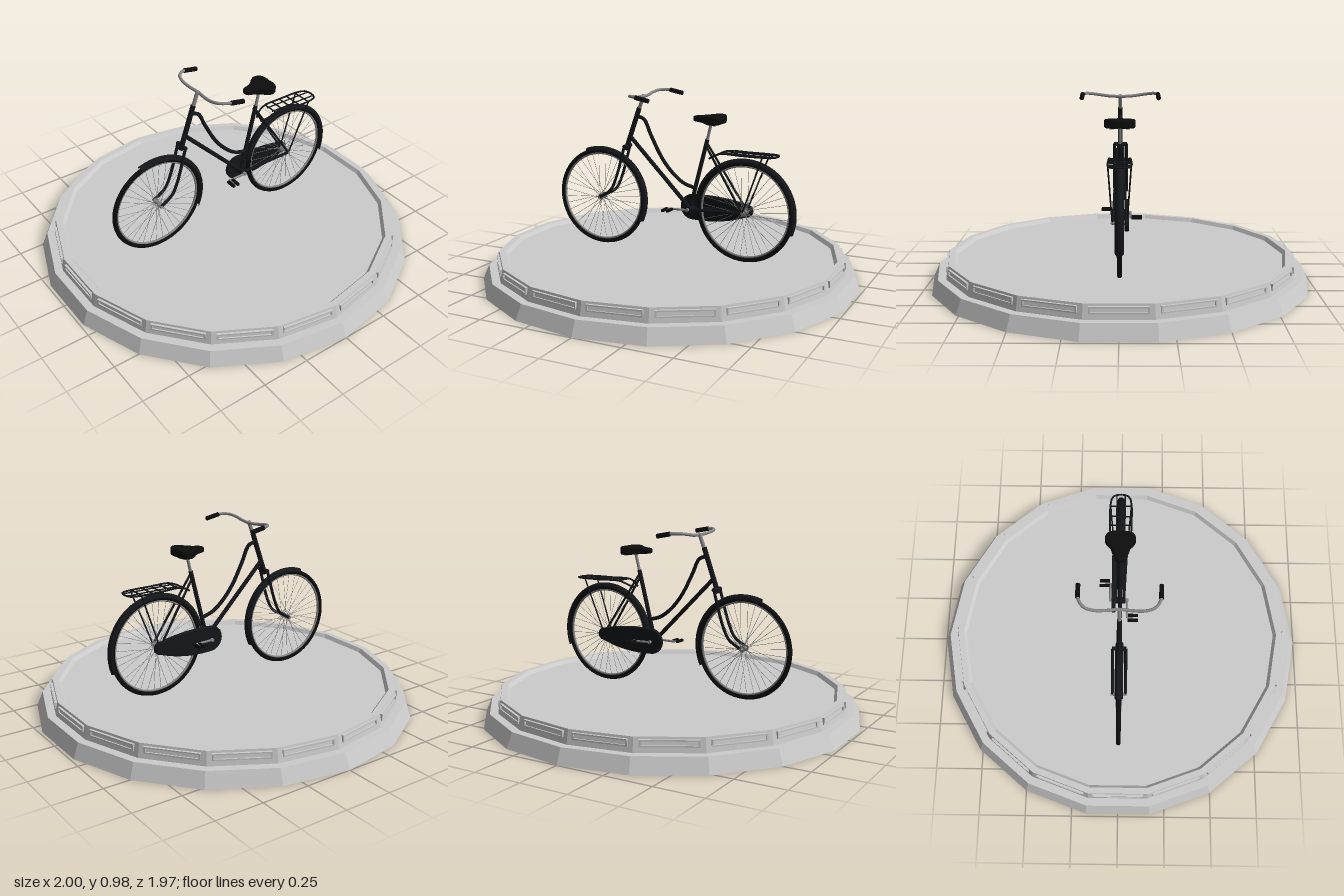
import * as THREE from 'three';
import { mergeGeometries } from 'three/addons/utils/BufferGeometryUtils.js';

const stone = new THREE.MeshStandardMaterial({ color: 0xcccccc, flatShading: true });
const paint = new THREE.MeshStandardMaterial({ color: 0x14161a });
const paintThin = new THREE.MeshStandardMaterial({ color: 0x14161a, side: THREE.DoubleSide });
const rubber = new THREE.MeshStandardMaterial({ color: 0x0d0d0d });
const metal = new THREE.MeshStandardMaterial({ color: 0x888888 });

const V = (x, y, z) => new THREE.Vector3(x, y, z);
const HUB_Y = 0.39, FRONT_Z = 0.42, REAR_Z = -0.415;

function add(parent, name, geometry, material, x = 0, y = 0, z = 0) {
  const mesh = new THREE.Mesh(geometry, material);
  mesh.name = name;
  mesh.position.set(x, y, z);
  parent.add(mesh);
  return mesh;
}

// Straight rod between two points
function rodGeometry(a, b, r, sides = 10) {
  const d = b.clone().sub(a);
  const g = new THREE.CylinderGeometry(r, r, d.length(), sides);
  g.applyQuaternion(new THREE.Quaternion().setFromUnitVectors(V(0, 1, 0), d.clone().normalize()));
  const m = a.clone().add(b).multiplyScalar(0.5);
  return g.translate(m.x, m.y, m.z);
}
const rod = (p, name, a, b, r, mat) => add(p, name, rodGeometry(a, b, r), mat);

// Bent pipe through points
const pipe = (p, name, pts, r, mat, closed = false) => add(p, name,
  new THREE.TubeGeometry(new THREE.CatmullRomCurve3(pts, closed, 'centripetal'), 40, r, 8, closed), mat);

// Faceted plinth with a raised rim and a framed panel on each face
function buildPlinth() {
  const plinth = new THREE.Group();
  plinth.name = 'plinth';
  const profile = [[0, 0], [1, 0], [0.968, 0.075], [0.926, 0.075], [0.912, 0.145],
    [0.88, 0.145], [0.865, 0.125], [0, 0.125]].map(([r, y]) => new THREE.Vector2(r, y));
  add(plinth, 'plinthBody', new THREE.LatheGeometry(profile, 18, Math.PI / 18), stone);

  const rect = (Type, w, h) => {
    const s = new Type();
    s.moveTo(-w, -h); s.lineTo(w, -h); s.lineTo(w, h); s.lineTo(-w, h); s.closePath();
    return s;
  };
  const frame = rect(THREE.Shape, 0.134, 0.017);
  frame.holes.push(rect(THREE.Path, 0.126, 0.01));
  const frameGeometry = new THREE.ExtrudeGeometry(frame, { depth: 0.02, bevelEnabled: false });
  frameGeometry.translate(0, 0.117, 0.892);
  for (let i = 0; i < 18; i++) {
    add(plinth, 'panelFrame', frameGeometry, stone).rotation.y = i * Math.PI / 9;
  }
  return plinth;
}

// Wheel with tyre, rim, hub, crossed spokes and mudguard
function buildWheel(name, z, guardFrom, guardTo) {
  const wheel = new THREE.Group();
  wheel.name = name;
  wheel.position.set(0, HUB_Y, z);
  const ring = (r, t) => new THREE.TorusGeometry(r, t, 10, 64).rotateY(Math.PI / 2);
  add(wheel, 'tyre', ring(0.252, 0.0125), rubber);
  add(wheel, 'rim', ring(0.238, 0.006), metal);
  add(wheel, 'hub', rodGeometry(V(-0.03, 0, 0), V(0.03, 0, 0), 0.009, 16), metal);
  const parts = [];
  for (const s of [-1, 1]) {
    add(wheel, 'hubFlange', rodGeometry(V(s * 0.018, 0, 0), V(s * 0.021, 0, 0), 0.017, 16), metal);
    for (let i = 0; i < 18; i++) {
      const a = (i + s * 0.25) * Math.PI / 9, b = a + (i % 2 ? 0.6 : -0.6);
      parts.push(rodGeometry(V(s * 0.019, 0.015 * Math.sin(b), 0.015 * Math.cos(b)),
        V(0, 0.236 * Math.sin(a), 0.236 * Math.cos(a)), 0.0011, 4));
    }
  }
  add(wheel, 'spokes', mergeGeometries(parts), metal);

  const section = [];
  for (let i = 0; i <= 10; i++) {
    const t = -Math.PI / 2 + i * Math.PI / 10;
    section.push(new THREE.Vector2(0.257 + 0.02 * Math.cos(t), 0.021 * Math.sin(t)));
  }
  const rad = THREE.MathUtils.degToRad;
  add(wheel, 'mudguard', new THREE.LatheGeometry(section, 40, rad(guardFrom), rad(guardTo - guardFrom))
    .rotateZ(Math.PI / 2), paintThin);
  return wheel;
}

function buildFrame() {
  const g = new THREE.Group();
  g.name = 'frame';
  const bracket = V(0, 0.375, -0.11);
  rod(g, 'headTube', V(0, 0.89, 0.188), V(0, 0.66, 0.27), 0.013, paint);
  pipe(g, 'upperTube', [V(0, 0.845, 0.2), V(0, 0.83, 0.16), V(0, 0.75, 0.12), V(0, 0.64, 0.06),
    V(0, 0.565, 0), V(0, 0.51, -0.07), V(0, 0.488, -0.14)], 0.01, paint);
  rod(g, 'downTube', V(0, 0.735, 0.245), bracket, 0.011, paint);
  rod(g, 'seatTube', bracket, V(0, 0.75, -0.205), 0.011, paint);
  rod(g, 'bracketShell', V(-0.03, 0.375, -0.11), V(0.03, 0.375, -0.11), 0.018, paint);
  rod(g, 'forkCrown', V(-0.036, 0.68, 0.263), V(0.036, 0.68, 0.263), 0.011, paint);
  for (const s of [-1, 1]) {
    pipe(g, 'forkBlade', [V(s * 0.033, 0.685, 0.262), V(s * 0.034, 0.5, 0.318),
      V(s * 0.034, 0.435, 0.352), V(s * 0.034, HUB_Y, FRONT_Z)], 0.008, paint);
    rod(g, 'chainStay', V(s * 0.02, 0.375, -0.11), V(s * 0.034, HUB_Y, REAR_Z), 0.008, paint);
    rod(g, 'seatStay', V(s * 0.014, 0.725, -0.2), V(s * 0.034, HUB_Y, REAR_Z), 0.006, paint);
  }
  for (const z of [FRONT_Z, REAR_Z]) {
    rod(g, 'axle', V(-0.043, HUB_Y, z), V(0.043, HUB_Y, z), 0.007, metal);
  }
  return g;
}

// Swept-back handlebar with stem and grips
function buildHandlebar() {
  const g = new THREE.Group();
  g.name = 'handlebar';
  rod(g, 'stem', V(0, 0.88, 0.19), V(0, 0.96, 0.16), 0.01, metal);
  const half = [[0.06, 0.955, 0.162], [0.12, 0.963, 0.166], [0.17, 0.97, 0.152], [0.197, 0.97, 0.11], [0.2, 0.957, 0.04]];
  pipe(g, 'bar', [...half.map(([x, y, z]) => V(-x, y, z)).reverse(), V(0, 0.953, 0.155),
    ...half.map(p => V(...p))], 0.008, metal);
  for (const s of [-1, 1]) rod(g, 'grip', V(s * 0.199, 0.969, 0.105), V(s * 0.2, 0.955, 0.03), 0.012, rubber);
  return g;
}

// Saddle, broad at the back, with post and springs
function buildSaddle() {
  const g = new THREE.Group();
  g.name = 'saddle';
  const s = new THREE.Shape();
  s.moveTo(0, -0.28);
  s.bezierCurveTo(0.05, -0.29, 0.068, -0.275, 0.068, -0.25);
  s.bezierCurveTo(0.066, -0.215, 0.022, -0.215, 0.016, -0.15);
  s.quadraticCurveTo(0.012, -0.138, 0, -0.138);
  s.quadraticCurveTo(-0.012, -0.138, -0.016, -0.15);
  s.bezierCurveTo(-0.022, -0.215, -0.066, -0.215, -0.068, -0.25);
  s.bezierCurveTo(-0.068, -0.275, -0.05, -0.29, 0, -0.28);
  const geo = new THREE.ExtrudeGeometry(s, { depth: 0.024, bevelSize: 0.01, bevelThickness: 0.01, bevelSegments: 4, curveSegments: 10 });
  geo.rotateX(Math.PI / 2).translate(0, 0.867, 0);
  // Slim the nose
  const p = geo.attributes.position;
  for (let i = 0; i < p.count; i++) {
    const k = THREE.MathUtils.clamp((p.getZ(i) + 0.24) / 0.11, 0, 1);
    p.setY(i, THREE.MathUtils.lerp(p.getY(i), 0.855 + (p.getY(i) - 0.855) * 0.6, k));
  }
  geo.computeVertexNormals();
  add(g, 'seatPad', geo, rubber);
  rod(g, 'seatPost', V(0, 0.74, -0.203), V(0, 0.85, -0.23), 0.008, metal);
  for (const x of [-0.04, 0.04]) rod(g, 'spring', V(x, 0.828, -0.26), V(x, 0.85, -0.26), 0.011, metal);
  return g;
}

// Luggage rack over the rear wheel
function buildRack() {
  const g = new THREE.Group();
  g.name = 'rack';
  const y = 0.69, side = [[0.018, 0.655, -0.225], [0.04, 0.675, -0.26], [0.05, y, -0.3], [0.056, y, -0.42],
    [0.055, y, -0.53], [0.042, y, -0.575]];
  pipe(g, 'rackLoop', [...side.map(([a, b, c]) => V(-a, b, c)), V(0, y, -0.588),
    ...side.map(p => V(...p)).reverse()], 0.005, paint);
  for (const z of [-0.31, -0.36, -0.41, -0.46, -0.52]) rod(g, 'crossBar', V(-0.054, y, z), V(0.054, y, z), 0.004, paint);
  for (const s of [-1, 1]) {
    rod(g, 'slat', V(s * 0.022, y, -0.3), V(s * 0.022, y, -0.58), 0.0035, paint);
    rod(g, 'rackStrut', V(s * 0.055, y, -0.525), V(s * 0.036, HUB_Y, REAR_Z), 0.004, paint);
  }
  return g;
}

// Chain case, cranks and pedals
function buildDrive() {
  const g = new THREE.Group();
  g.name = 'drive';
  const s = new THREE.Shape();
  s.absarc(-0.11, 0.378, 0.063, Math.PI * 0.52, -Math.PI * 0.5, true);
  s.quadraticCurveTo(-0.27, 0.305, -0.415, 0.36);
  s.absarc(-0.415, 0.388, 0.028, -Math.PI / 2, -Math.PI * 1.5, true);
  s.quadraticCurveTo(-0.27, 0.45, -0.114, 0.441);
  const geo = new THREE.ExtrudeGeometry(s, { depth: 0.012, bevelSize: 0.005, bevelThickness: 0.005, bevelSegments: 3, curveSegments: 20 });
  add(g, 'chainCase', geo.rotateY(-Math.PI / 2), paint, -0.029);
  rod(g, 'crankAxle', V(-0.06, 0.375, -0.11), V(0.046, 0.375, -0.11), 0.009, metal);
  for (const [dir, x, px] of [[1, 0.038, 0.07], [-1, -0.055, -0.085]]) {
    const z = -0.11 + dir * 0.1;
    rod(g, 'crank', V(x, 0.375, -0.11), V(x, 0.373, z), 0.006, metal);
    rod(g, 'pedalAxle', V(x, 0.373, z), V(px, 0.373, z), 0.004, metal);
    for (const dz of [-0.014, 0.014]) {
      add(g, 'pedalBlock', new THREE.BoxGeometry(0.055, 0.013, 0.014), rubber, px, 0.373, z + dz);
    }
  }
  return g;
}

export function createModel() {
  const model = new THREE.Group();
  model.name = 'bicycleOnPlinth';
  const bicycle = new THREE.Group();
  bicycle.name = 'bicycle';
  bicycle.add(buildWheel('frontWheel', FRONT_Z, 70, 205), buildWheel('rearWheel', REAR_Z, 10, 200),
    buildFrame(), buildHandlebar(), buildSaddle(), buildRack(), buildDrive());
  model.add(buildPlinth(), bicycle);
  return model;
}
